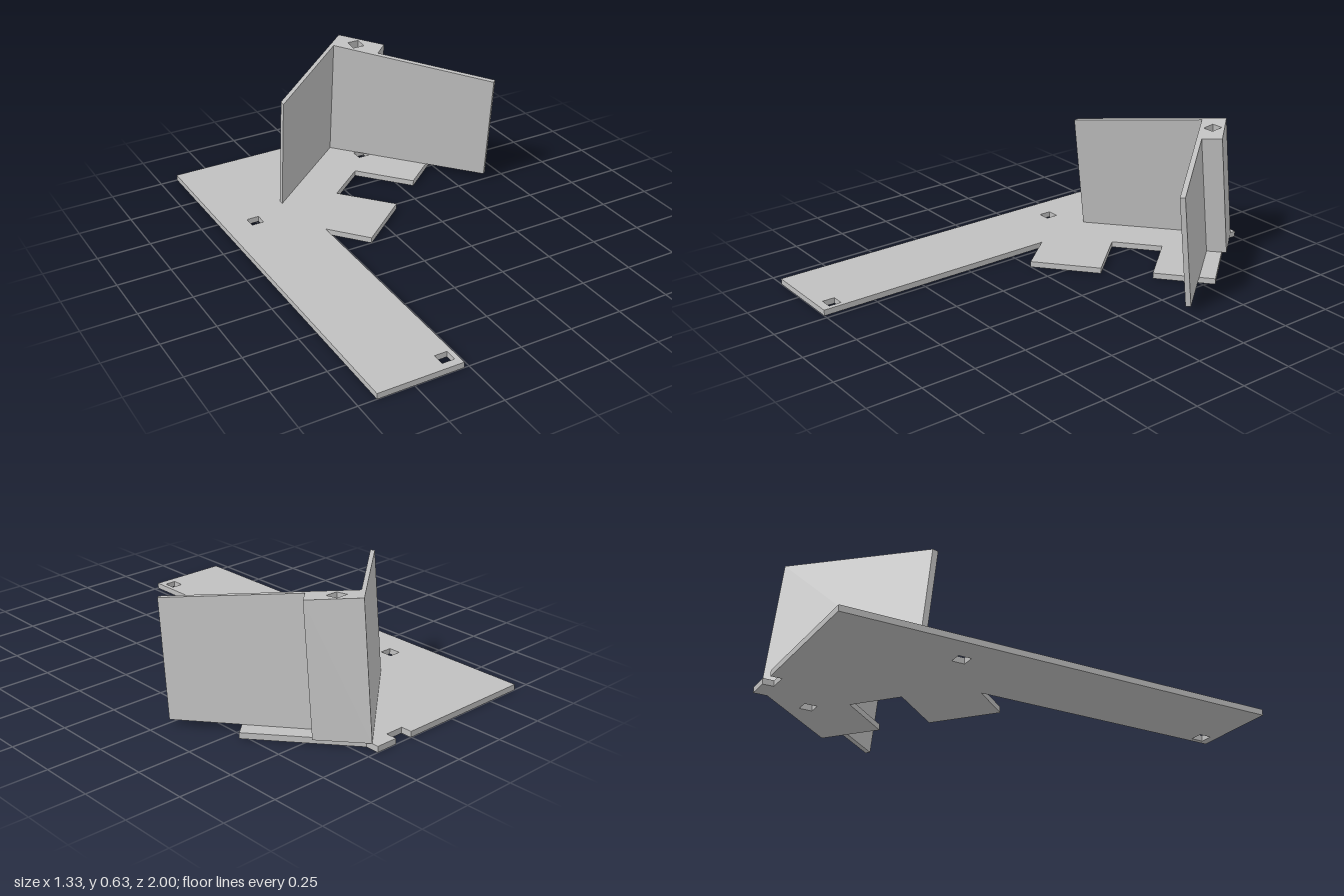
import * as THREE from 'three';

// Shape from [x, z] points; z is negated so the extrusion can be laid flat
function makeShape(points, holes) {
  const toVec = ([x, z]) => new THREE.Vector2(x, -z);
  const shape = new THREE.Shape(points.map(toVec));
  for (const [x, z] of holes) {
    const r = 0.029;
    shape.holes.push(new THREE.Path(
      [[x - r, z - r], [x + r, z - r], [x + r, z + r], [x - r, z + r]].map(toVec)));
  }
  return shape;
}

// Upright extrusion of a floor plan
function extrudeUp(shape, height) {
  const geometry = new THREE.ExtrudeGeometry(shape, { depth: height, bevelEnabled: false });
  geometry.rotateX(-Math.PI / 2);
  return geometry;
}

export function createModel() {
  const group = new THREE.Group();
  const grey = new THREE.MeshStandardMaterial({ color: 0xc0c0c0 });
  grey.name = 'plain grey';
  const plateTop = 0.027;

  // Flat base plate: long arm, angled tab with a slot, notch and square holes
  const plate = extrudeUp(makeShape([
    [-0.667, 1], [-0.272, 1], [-0.272, -0.175], [-0.128, 0], [0.126, -0.212],
    [-0.071, -0.444], [0.114, -0.598], [0.31, -0.365], [0.528, -0.547],
    [0.197, -0.938], [0.197, -1], [0.092, -1], [0.092, -0.95], [0.003, -0.95],
    [0.003, -1], [-0.667, -1],
  ], [[-0.519, -0.405], [-0.323, 0.934], [0.228, -0.74]]), plateTop);
  const plateMesh = new THREE.Mesh(plate, grey);
  plateMesh.name = 'basePlate';
  group.add(plateMesh);

  // Two thin walls meeting at a thick corner block with a square bore
  const wall = extrudeUp(makeShape([
    [-0.341, -0.45], [-0.341, -0.424], [0.123, -0.814], [0.646, -0.193],
    [0.664, -0.208], [0.283, -0.661], [0.353, -0.722], [0.197, -0.9],
  ], [[0.228, -0.782]]), 1);

  // Lean the walls forward: tilted top, foot cut level with the plate
  const lean = 0.115;
  const pos = wall.attributes.position;
  for (let i = 0; i < pos.count; i++) {
    const z = pos.getZ(i);
    const top = 0.627 - lean * (z + 0.9);
    if (pos.getY(i) > 0.5) pos.setY(i, top);
    else pos.setXYZ(i, pos.getX(i), plateTop, z - lean * (top - plateTop));
  }
  wall.computeVertexNormals();
  const wallMesh = new THREE.Mesh(wall, grey);
  wallMesh.name = 'leaningCornerWalls';
  group.add(wallMesh);

  return group;
}
